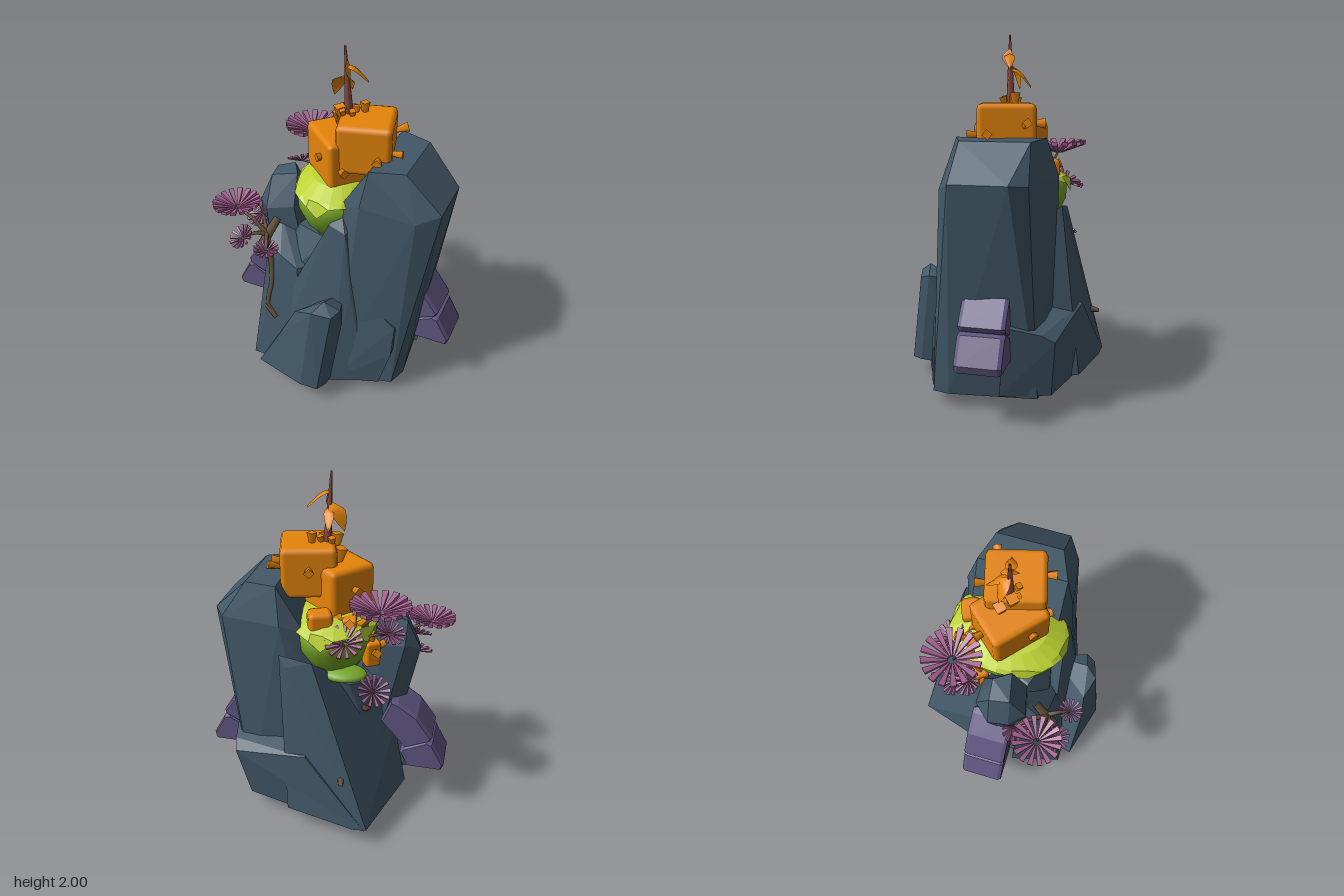
import * as THREE from 'three';
import { mergeGeometries } from 'three/addons/utils/BufferGeometryUtils.js';
import { RoundedBoxGeometry } from 'three/addons/geometries/RoundedBoxGeometry.js';
import { ConvexGeometry } from 'three/addons/geometries/ConvexGeometry.js';

const mat = (name, color, extra = {}) =>
  Object.assign(new THREE.MeshStandardMaterial({ color, ...extra }), { name });
const V = (p) => new THREE.Vector3(...p);

export function createModel() {
  const model = new THREE.Group();
  model.name = 'rockIsland';
  const slate = mat('slateRock', 0x425868, { flatShading: true });
  const violet = mat('violetStone', 0x5f5580, { flatShading: true });
  const green = mat('bushGreen', 0x76a626);
  const lime = mat('limeLeaf', 0xbcd232, { flatShading: true, side: THREE.DoubleSide });
  const orange = mat('orangeBlock', 0xe5840a, { side: THREE.DoubleSide });
  const pink = mat('pinkPetal', 0xa66092, { flatShading: true });
  const bark = mat('brownBark', 0x64503a);
  const redBark = mat('redBark', 0x8c4c42);

  const add = (name, geo, material, parent = model) => {
    const m = new THREE.Mesh(geo, material);
    m.name = name;
    parent.add(m);
    return m;
  };
  const rock = (name, pts) => add(name, new ConvexGeometry(pts.map(V)), slate);

  // Large boulder and its neighbours, each a faceted hull
  rock('mainBoulder', [
    [0.23, 1.45, 0.2], [0.23, 1.45, -0.3], [0.41, 1.44, 0.13], [0.41, 1.44, -0.25],
    [0.615, 1.24, 0.13], [0.615, 1.24, -0.18], [0.55, 1.23, -0.27], [0.5, 1.2, 0.21],
    [0.2, 1.25, -0.36], [0.07, 1.2, 0.2], [0.08, 1.2, -0.3], [0.2, 1.25, 0.25],
    [0.48, 0.08, 0.18], [0.44, 0.07, 0.28], [0.43, 0.08, -0.3], [0.1, 0.05, 0.36],
    [-0.45, 0.1, 0.1], [-0.4, 0.09, -0.2], [-0.1, 0, 0.02], [-0.12, 0.02, 0.3], [0, 0.1, -0.33]]);
  rock('innerRock', [
    [-0.38, 0.88, 0.05], [-0.22, 0.94, 0.12], [0, 0.95, 0.2], [-0.35, 0.85, -0.08],
    [0, 0.95, -0.3], [-0.16, 0.88, -0.26], [-0.4, 0.3, 0.1], [0.1, 0.3, 0.25],
    [-0.35, 0.3, -0.2], [0.1, 0.3, -0.3], [-0.2, 0.72, 0.24]]);
  rock('backSlab', [
    [-0.33, 0.12, -0.56], [-0.25, 0.1, -0.55], [0.15, 0.12, -0.48], [0.02, 1.06, -0.38],
    [0.2, 1.09, -0.38], [0.16, 1.03, -0.4], [-0.03, 1.0, -0.32], [0.25, 0.9, -0.1], [-0.48, 0.1, -0.05],
    [-0.4, 0.5, -0.05], [0.2, 0.06, 0], [-0.2, 0.75, -0.1], [-0.1, 0.01, 0]]);
  rock('backLedge', [
    [0.48, 0.42, -0.4], [0.5, 0.46, -0.33], [0.54, 0.5, -0.14], [0.04, 0.51, -0.48],
    [0.41, 0.1, -0.37], [0.47, 0.09, -0.1], [-0.32, 0.11, -0.56], [0.1, 0.05, 0], [0.1, 0.6, -0.1]]);
  rock('leftBoulder', [
    [-0.33, 1.24, -0.05], [-0.27, 1.23, 0.04], [-0.44, 1.2, -0.04], [-0.42, 1.2, 0.07],
    [-0.52, 1.03, -0.03], [-0.5, 1.02, 0.08], [-0.44, 1.08, -0.12], [-0.3, 1.08, -0.12],
    [-0.26, 1.05, 0.12], [-0.42, 1.02, 0.16], [-0.44, 0.8, 0.08], [-0.3, 0.38, -0.15],
    [-0.4, 0.42, 0], [-0.2, 0.7, 0.12], [-0.2, 0.9, -0.1], [-0.38, 0.5, 0.15]]);
  rock('leftFrontSlab', [
    [-0.34, 0.95, 0.12], [-0.42, 0.88, 0.12], [-0.37, 0.85, 0.24], [-0.28, 0.8, 0.27],
    [-0.17, 0.74, 0.28], [-0.51, 0.1, 0.1], [-0.43, 0.08, 0.4], [-0.1, 0.06, 0.4],
    [-0.4, 0.5, 0.23], [0, 0.74, 0.1], [0, 0.05, 0]]);
  rock('frontRidge', [
    [0.08, 1.17, 0.2], [0.15, 1.1, 0.2], [0.03, 1.1, 0.26], [0.13, 1.07, 0.27],
    [0.18, 0.68, 0.31], [-0.16, 0.7, 0.29], [0.3, 0.07, 0.33], [-0.3, 0.08, 0.38],
    [0.1, 0.07, 0.42], [0.1, 0.06, 0], [0.12, 1.1, 0]]);
  rock('rightShoulder', [
    [0.18, 0.72, 0.28], [0.44, 0.5, 0.27], [0.46, 0.45, 0.2], [0.43, 0.3, 0.29],
    [0.37, 0.07, 0.31], [0.1, 0.07, 0.4], [0.1, 0.6, 0.31], [0.2, 0.06, 0], [0.3, 0.6, 0]]);
  rock('frontSlab', [
    [0.07, 0.69, 0.42], [0.16, 0.64, 0.4], [0.13, 0.62, 0.46], [0.02, 0.64, 0.49],
    [-0.1, 0.58, 0.45], [-0.2, 0.38, 0.47], [-0.03, 0.12, 0.56], [0.07, 0.1, 0.54],
    [-0.36, 0.09, 0.46], [0.1, 0.1, 0.48], [-0.3, 0.08, 0.2], [0.1, 0.08, 0.2], [0.1, 0.6, 0.2]]);

  // Stepped violet stones on both sides
  const steps = {
    upperStone: [[0.39, 0.73], [0.42, 0.72], [0.53, 0.645], [0.62, 0.52], [0.61, 0.5], [0.48, 0.44], [0.34, 0.6]],
    lowerStone: [[0.6, 0.48], [0.63, 0.47], [0.7, 0.34], [0.69, 0.31], [0.5, 0.31], [0.46, 0.39], [0.48, 0.42]],
  };
  for (const side of [-1, 1]) for (const [name, pts] of Object.entries(steps)) {
    const shape = new THREE.Shape(pts.map(([x, y]) => new THREE.Vector2(x * side, y)));
    const geo = new THREE.ExtrudeGeometry(shape, {
      depth: 0.21, bevelThickness: 0.02, bevelSize: 0.01, bevelSegments: 1 });
    add(name, geo, violet).position.z = -0.15;
  }

  // Bush: rounded body, lower lip and jagged lime cap
  const bush = new THREE.Group();
  bush.name = 'bush';
  bush.position.set(-0.03, 0, -0.05);
  bush.scale.z = 1.32;
  model.add(bush);
  const profile = [[0, 0.91], [0.15, 0.92], [0.2, 1.0], [0.238, 1.1], [0.24, 1.18], [0.2, 1.23], [0, 1.27]];
  add('bushBody', new THREE.LatheGeometry(profile.map((p) => new THREE.Vector2(...p)), 24), green, bush);
  const lip = add('bushLip', new THREE.SphereGeometry(1, 14, 8), green);
  lip.position.set(-0.12, 0.95, -0.25);
  lip.scale.set(0.14, 0.04, 0.09);
  const rings = [[0.256, 1.18], [0.236, 1.225], [0.16, 1.28], [0.001, 1.3]];
  const cap = new THREE.LatheGeometry(rings.map((p) => new THREE.Vector2(...p)), 24);
  const cp = cap.attributes.position;
  for (let i = 0; i < cp.count; i += 4) cp.setY(i, [1.14, 1.205, 1.21, 1.19][(i / 4) % 4]);
  add('bushCap', cap, lime, bush);

  // Orange blocks with flared knobs
  const knob = (parent, p, dir, s = 1) => {
    const m = add('knob', new THREE.CylinderGeometry(0.028 * s, 0.014 * s, 0.07 * s, 4), orange, parent);
    m.position.set(...p);
    m.quaternion.setFromUnitVectors(new THREE.Vector3(0, 1, 0), V(dir).normalize());
  };
  const block = (name, pos, size, turn, knobs) => {
    const g = new THREE.Group();
    g.name = name;
    g.position.set(...pos);
    g.rotation.y = turn;
    model.add(g);
    add('cube', new RoundedBoxGeometry(...size, 1, Math.min(0.03, size[0] * 0.2)), orange, g);
    for (const [p, d] of knobs) knob(g, p, d);
  };
  block('upperBlock', [0.115, 1.49, -0.05], [0.3, 0.28, 0.32], 0.26, [
    [[0.18, 0.03, -0.1], [1, 0.3, -0.2]], [[0.17, -0.02, 0.1], [1, 0, 0.1]],
    [[0.08, -0.03, 0.18], [0, 0, 1]], [[-0.02, 0.16, -0.05], [0, 1, 0]], [[0, 0.03, -0.18], [0, 0, -1]]]);
  block('lowerBlock', [-0.035, 1.39, -0.04], [0.34, 0.28, 0.28], -0.74, [
    [[0.05, 0.02, 0.13], [0, 0, 1]], [[0.18, -0.02, 0.07], [1, 0, 0]],
    [[-0.18, 0.02, 0], [-1, 0, 0]], [[0, 0, -0.16], [0, 0, -1]]]);
  block('smallBlock', [0, 1.27, -0.27], [0.13, 0.11, 0.11], 0.4, [[[-0.08, 0, 0], [-1, 0, 0]]]);
  block('sideBlock', [-0.26, 1.04, -0.15], [0.09, 0.15, 0.08], 0.6, [
    [[0, 0.09, 0], [0.2, 1, 0]], [[-0.05, 0.03, 0], [-1, 0.5, 0]], [[0, 0.02, -0.05], [0, 0.4, -1]]]);
  block('rearKnobs', [-0.15, 1.24, -0.22], [0.08, 0.08, 0.08], 0.2, [
    [[-0.06, 0, 0], [-1, 0.4, 0]], [[0, 0.03, -0.06], [0, 0.4, -1]]]);

  // Tapered tubes for stems and branches
  const branch = (name, pts, r0, r1, material = bark) => {
    const n = 8, k = 6, curve = new THREE.CatmullRomCurve3(pts.map(V));
    const geo = new THREE.TubeGeometry(curve, n, 1, k);
    const p = geo.attributes.position, v = new THREE.Vector3();
    for (let i = 0; i < p.count; i++) {
      const t = Math.floor(i / (k + 1)) / n, c = curve.getPointAt(t);
      v.fromBufferAttribute(p, i).sub(c).multiplyScalar(r0 + (r1 - r0) * t).add(c);
      p.setXYZ(i, v.x, v.y, v.z);
    }
    add(name, geo, material);
  };
  // Curled leaf: a strip whose width swells in the middle
  const leaf = (pts, width, side) => {
    const n = 6, curve = new THREE.CatmullRomCurve3(pts.map(V)), s = V(side).normalize();
    const geo = new THREE.PlaneGeometry(1, 1, 2, n), p = geo.attributes.position;
    for (let i = 0; i < p.count; i++) {
      const t = Math.floor(i / 3) / n, u = (i % 3) - 1;
      const q = curve.getPoint(t).addScaledVector(s, u * width * Math.sin(Math.PI * (0.08 + 0.92 * t)));
      p.setXYZ(i, q.x, q.y - Math.abs(u) * 0.012, q.z);
    }
    geo.computeVertexNormals();
    add('leaf', geo, orange);
  };

  // Sapling on top
  branch('topStem', [[0.01, 1.6, -0.05], [0, 1.8, -0.045], [-0.01, 2, -0.04]], 0.026, 0.005, redBark);
  leaf([[0, 1.9, -0.04], [0.04, 1.89, -0.05], [0.11, 1.82, -0.07]], 0.03, [0.3, 0, 1]);
  leaf([[-0.01, 1.84, -0.04], [-0.05, 1.81, -0.07], [-0.09, 1.71, -0.08]], 0.045, [0.8, 0, -0.6]);
  leaf([[0, 1.82, -0.05], [-0.01, 1.8, -0.1], [-0.02, 1.72, -0.16]], 0.03, [1, 0, 0.2]);
  leaf([[0, 1.93, -0.04], [0.01, 1.89, -0.03], [0.02, 1.83, -0.04]], 0.03, [0, 0, 1]);
  for (const [x, z] of [[0.04, -0.07], [0.04, -0.02], [-0.02, -0.08], [-0.01, -0.01]])
    knob(model, [x, 1.635, z], [x * 4, 1, (z + 0.05) * 8], 0.8);
  knob(model, [-0.03, 1.62, -0.03], [-0.1, 1, 0.1], 1.4);
  knob(model, [-0.06, 1.56, -0.08], [-0.2, 1, 0], 1.4);

  // Fan flowers: flared blades rising around a centre
  const flower = (pos, r, tilt = [0, 0], n = 16) => {
    const blades = [];
    for (let i = 0; i < n; i++) {
      const b = new THREE.BoxGeometry(1, 1, 1), p = b.attributes.position;
      for (let j = 0; j < p.count; j++) {
        const out = p.getX(j) > 0;
        p.setXYZ(j, out ? r : r * 0.14, p.getY(j) * r * 0.14 + (out ? r * 0.32 : 0),
          p.getZ(j) * r * (out ? 0.22 : 0.05));
      }
      b.rotateY((i / n) * Math.PI * 2);
      blades.push(b);
    }
    const m = add('fanFlower', mergeGeometries(blades), pink);
    m.position.set(...pos);
    m.rotation.set(tilt[0], 0, tilt[1]);
  };
  flower([-0.32, 1.34, -0.27], 0.16);
  flower([-0.15, 1.18, -0.34], 0.1, [-0.6, 0], 13);
  flower([-0.36, 1.18, -0.18], 0.08, [-0.4, 0.4], 13);
  flower([-0.3, 0.88, -0.3], 0.09, [-0.7, 0.3], 13);
  flower([-0.55, 1.05, 0.26], 0.135, [0, 0.05]);
  flower([-0.48, 0.94, 0.11], 0.09, [0.7, 0.3], 13);
  flower([-0.47, 0.92, 0.35], 0.075, [0.6, 0.3], 13);
  flower([-0.3, 0.905, 0.39], 0.07, [0.1, -0.1], 13);

  // Front tree, its trunk lying against the rock
  branch('frontTrunk', [[-0.31, 0.4, 0.34], [-0.35, 0.45, 0.33], [-0.33, 0.62, 0.295], [-0.35, 0.8, 0.265], [-0.37, 0.9, 0.27]], 0.014, 0.02);
  branch('frontFork', [[-0.38, 0.85, 0.31], [-0.36, 0.92, 0.26], [-0.33, 1.0, 0.19]], 0.034, 0.024);
  branch('frontRoot', [[-0.4, 0.42, 0.29], [-0.35, 0.43, 0.335], [-0.29, 0.38, 0.35]], 0.014, 0.014);
  const fork = [-0.36, 0.93, 0.27];
  for (const tip of [[-0.55, 1.05, 0.26], [-0.48, 0.94, 0.11], [-0.47, 0.92, 0.35], [-0.3, 0.905, 0.39]])
    branch('frontBranch', [fork, [(fork[0] + tip[0]) / 2, (fork[1] + tip[1]) / 2 + 0.02, (fork[2] + tip[2]) / 2], tip], 0.016, 0.006);

  // Rear tree
  branch('rearTwig', [[-0.2, 1.2, -0.2], [-0.25, 1.27, -0.24], [-0.32, 1.34, -0.27]], 0.01, 0.006);
  branch('rearTwig', [[-0.2, 1.15, -0.2], [-0.28, 1.17, -0.19], [-0.36, 1.18, -0.18]], 0.01, 0.006);
  branch('rearTwig', [[-0.1, 1.1, -0.28], [-0.13, 1.15, -0.33], [-0.15, 1.18, -0.34]], 0.01, 0.006);
  branch('rearTwig', [[-0.24, 0.7, -0.2], [-0.28, 0.78, -0.3], [-0.3, 0.88, -0.3]], 0.022, 0.007);
  branch('rearStub', [[-0.16, 0.42, -0.44], [-0.17, 0.41, -0.5], [-0.18, 0.4, -0.55]], 0.03, 0.012);
  return model;
}
